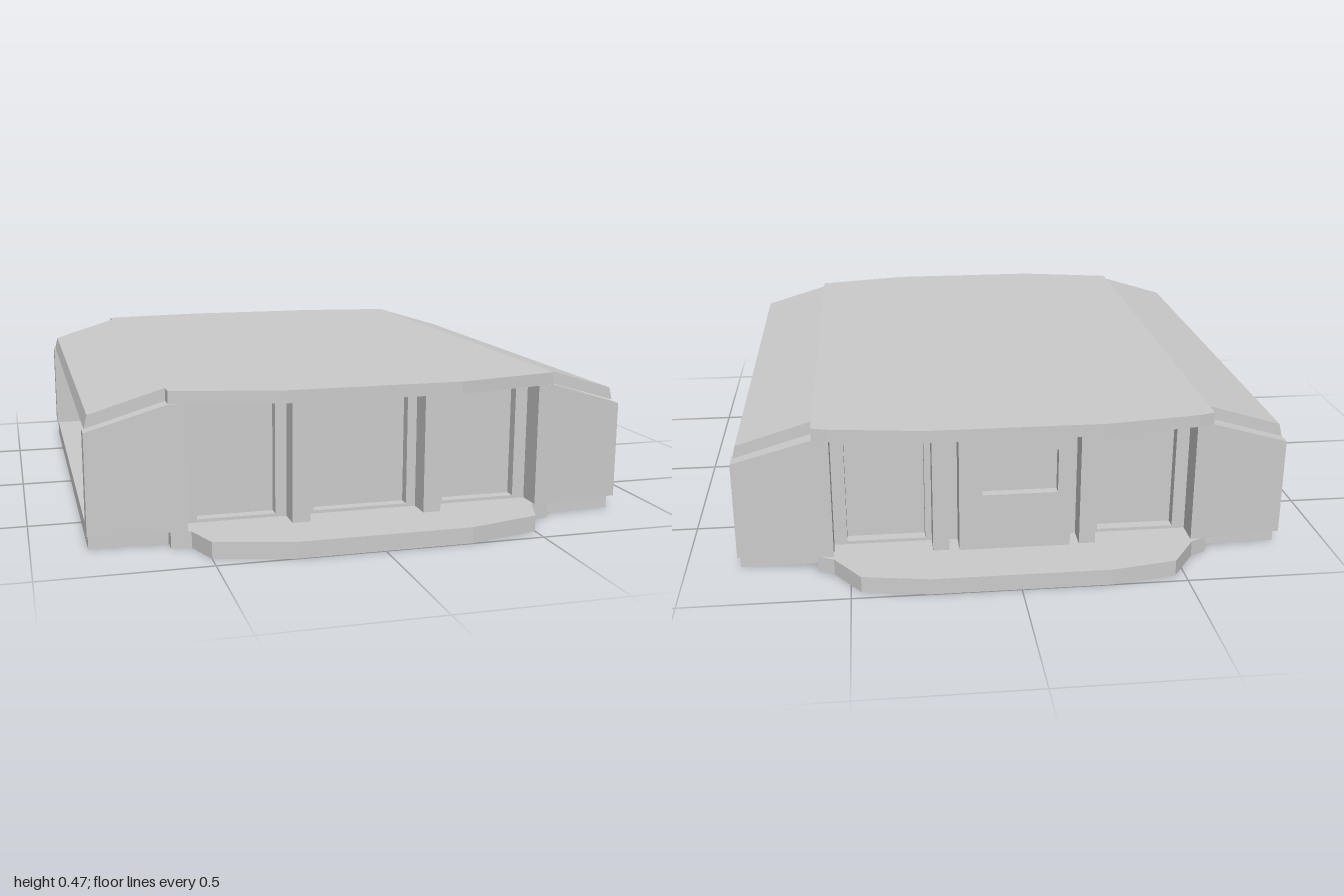
import * as THREE from 'three';

const material = new THREE.MeshStandardMaterial({ color: 0xcccccc, flatShading: true });

function polygon(points) {
  return new THREE.Shape(points.map(([x, y]) => new THREE.Vector2(x, y)));
}

function extrude(shape, depth) {
  return new THREE.ExtrudeGeometry(shape, { depth, bevelEnabled: false });
}

// Plan outline mirrored in x from its front half and back half (x, z)
function slab(front, back, y, height) {
  const half = [...front, ...back];
  const outline = [...half, ...half.map(([x, z]) => [-x, z]).reverse()];
  const g = extrude(polygon(outline.map(([x, z]) => [x, -z])), height);
  return g.rotateX(-Math.PI / 2).translate(0, y, 0);
}

// Upright panel with rectangular openings [x0, x1, y0, y1]
function panel(x0, x1, y0, y1, openings, depth) {
  const rect = (a, b, c, d) => [[a, c], [b, c], [b, d], [a, d]];
  const shape = polygon(rect(x0, x1, y0, y1));
  for (const o of openings) shape.holes.push(polygon(rect(...o)));
  return extrude(shape, depth);
}

export function createModel() {
  const group = new THREE.Group();
  const add = (name, geometry) => {
    const mesh = new THREE.Mesh(geometry, material);
    mesh.name = name;
    group.add(mesh);
  };
  const box = (name, x0, x1, y0, y1, z0, z1) => add(name,
    new THREE.BoxGeometry(x1 - x0, y1 - y0, z1 - z0)
      .translate((x0 + x1) / 2, (y0 + y1) / 2, (z0 + z1) / 2));

  // Floor with projecting front and back terraces
  add('floor', slab(
    [[0.27, 1], [0.5, 0.94], [0.54, 0.83], [0.6, 0.82], [0.6, 0.77], [0.835, 0.77]],
    [[0.835, -0.775], [0.6, -0.775], [0.6, -0.825], [0.55, -0.85], [0.47, -0.965], [0.27, -1]],
    0, 0.05));

  // Flat middle of the roof
  add('roof', slab(
    [[0.27, 0.895], [0.6, 0.82]],
    [[0.6, -0.83], [0.55, -0.845], [0.27, -0.885]],
    0.43, 0.038));

  // Closed core behind the walls
  box('core', -0.575, 0.575, 0.05, 0.43, -0.72, 0.715);

  // Side walls: openings given as [z0, z1, y0, y1]
  const sideOpenings = {
    1: [[0.07, 0.71, 0.23, 0.34], [-0.28, -0.04, 0.1, 0.36], [-0.74, -0.35, 0.13, 0.32]],
    '-1': [[-0.35, -0.12, 0.1, 0.36]],
  };
  for (const s of [1, -1]) {
    const openings = sideOpenings[s].map(([a, b, c, d]) => [-b, -a, c, d]);
    add('sideWall', panel(-0.79, 0.79, 0.05, 0.43, openings, 0.03)
      .rotateY(Math.PI / 2).translate(s > 0 ? 0.57 : -0.6, 0, 0));

    // Sloping roof edge
    const section = [[0.6, 0.468], [0.825, 0.4], [0.835, 0.36], [0.6, 0.43]];
    add('roofEdge', extrude(polygon(section.map(([x, y]) => [s * x, y])), 1.545)
      .translate(0, 0, -0.775));

    // Corner walls, angled slightly backwards to the outside
    for (const f of [1, -1]) {
      const fin = extrude(polygon(
        [[0.55, 0.05], [0.84, 0.05], [0.84, 0.355], [0.6, 0.43], [0.55, 0.43]]
          .map(([x, y]) => [s * x, y])), 0.06);
      fin.translate(0, 0, f > 0 ? 0.765 : -0.83);
      const p = fin.attributes.position;
      for (let i = 0; i < p.count; i++) {
        p.setZ(i, p.getZ(i) - f * 0.09 * (Math.abs(p.getX(i)) - 0.6));
      }
      fin.computeVertexNormals();
      add('cornerWall', fin);
      const z = f > 0 ? [0.7, 0.815] : [-0.82, -0.7];
      box('cornerPost', Math.min(s * 0.55, s * 0.595), Math.max(s * 0.55, s * 0.595), 0.05, 0.43, ...z);
    }

    // Pillars between the bays
    const pillar = (a, b, z0, z1) =>
      box('pillar', Math.min(s * a, s * b), Math.max(s * a, s * b), 0.05, 0.43, z0, z1);
    pillar(0.18, 0.235, 0.71, 0.825);
    pillar(0.2, 0.25, -0.825, -0.71);
  }

  // Glazed front wall
  const bays = [[-0.51, -0.27, 0.06, 0.415], [0.27, 0.51, 0.06, 0.415]];
  add('frontWall', panel(-0.56, 0.56, 0.05, 0.43,
    [...bays, [-0.15, 0.15, 0.06, 0.41]], 0.035).translate(0, 0, 0.715));

  // Back wall with a projecting middle and one window
  add('backWall', panel(-0.56, 0.56, 0.05, 0.43, bays, 0.035).translate(0, 0, -0.755));
  add('backBay', panel(-0.17, 0.17, 0.05, 0.43,
    [[-0.13, 0.1, 0.23, 0.37]], 0.03).translate(0, 0, -0.83));
  box('backBayCore', -0.17, 0.17, 0.05, 0.43, -0.8, -0.75);

  return group;
}
